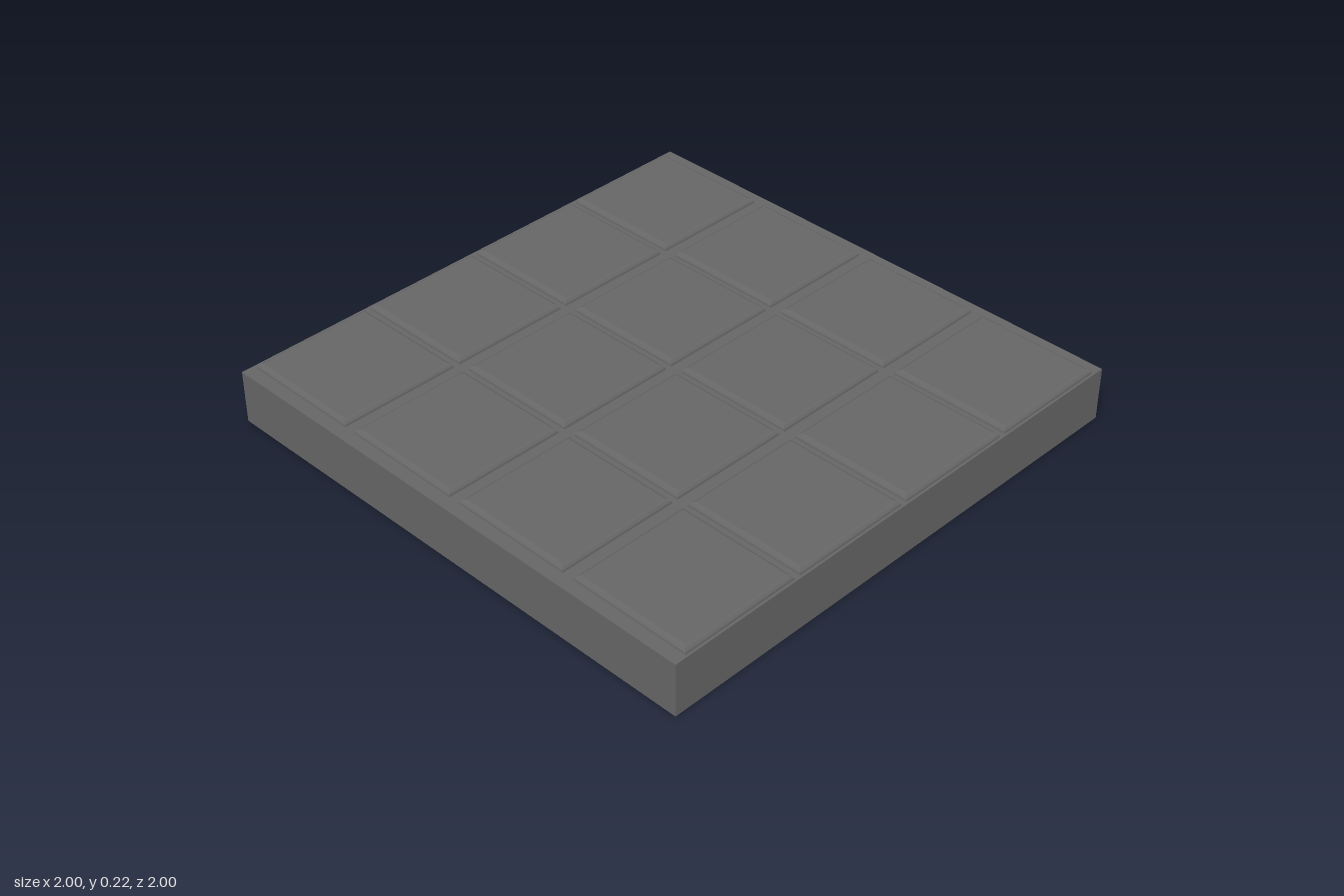
import * as THREE from 'three';

export function createModel() {
  const model = new THREE.Group();
  const stone = new THREE.MeshStandardMaterial({ color: 0x666666 });
  stone.name = 'dark grey stone';

  // Solid base slab
  const slab = new THREE.Mesh(new THREE.BoxGeometry(2, 0.2, 2), stone);
  slab.name = 'slab';
  slab.position.y = 0.1;
  model.add(slab);

  // Square tile with a stepped bevel: [half width, height above the slab]
  const profile = [[0.23, 0], [0.228, 0.008], [0.222, 0.015], [0.213, 0.02], [0, 0.02]]
    .map(([half, y]) => new THREE.Vector2(half * Math.SQRT2, y));
  const tileGeometry = new THREE.LatheGeometry(profile, 4, Math.PI / 4).toNonIndexed();
  tileGeometry.computeVertexNormals();

  // Four by four raised tiles
  const tiles = new THREE.Group();
  tiles.name = 'tiles';
  for (let row = 0; row < 4; row++) {
    for (let column = 0; column < 4; column++) {
      const tile = new THREE.Mesh(tileGeometry, stone);
      tile.name = `tile${row + 1}_${column + 1}`;
      tile.position.set(-0.723 + column * 0.4825, 0.2, -0.753 + row * 0.505);
      tiles.add(tile);
    }
  }
  model.add(tiles);
  return model;
}
